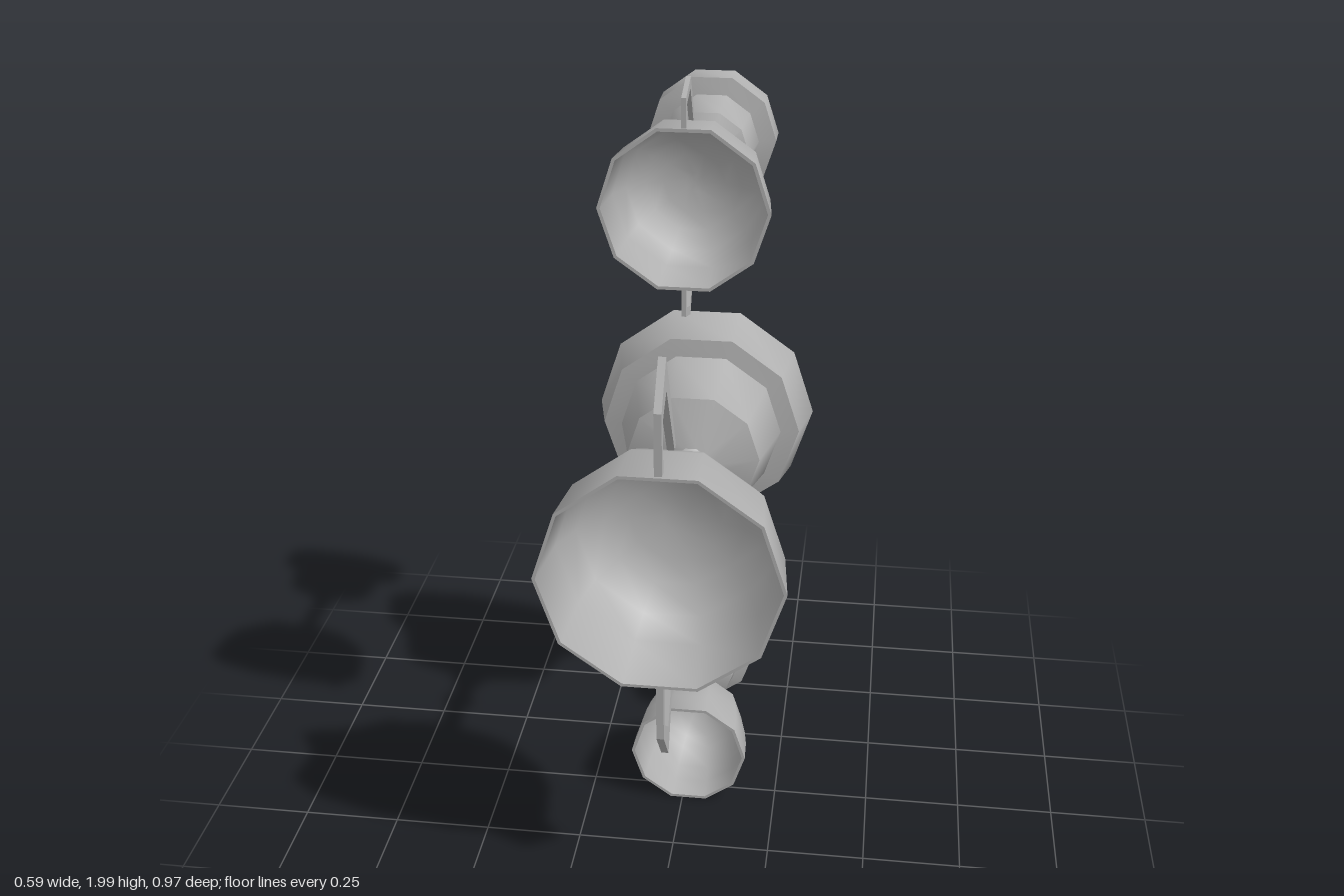
import * as THREE from 'three';
import { toCreasedNormals } from 'three/addons/utils/BufferGeometryUtils.js';

const SIDES = 10;
const WALL = 0.008;

const metal = new THREE.MeshStandardMaterial({ color: 0xb0b0b0, side: THREE.DoubleSide });
metal.name = 'grey metal';

// Ten-sided turned part along z; profile is [radius, z] from back to front
function turned(name, profile) {
  const points = profile.map(([r, z]) => new THREE.Vector2(r, z));
  const geometry = new THREE.LatheGeometry(points, SIDES, Math.PI / 2);
  geometry.rotateX(Math.PI / 2);
  const mesh = new THREE.Mesh(toCreasedNormals(geometry, 0.78), metal);
  mesh.name = name;
  return mesh;
}

// Bowl with a thin wall: outer profile forward to the rim, inner one back
function cup(profile) {
  const inner = profile.map(([r, z], i) =>
    [Math.max(r - WALL, 0), i === profile.length - 1 ? z : z + WALL * 0.7]).reverse();
  return turned('cup', [...profile, ...inner]);
}

// Flat bent strap, outline given as [z, y]
function handle(name, outline, thickness) {
  const shape = new THREE.Shape(outline.map(([z, y]) => new THREE.Vector2(z, y)));
  const geometry = new THREE.ExtrudeGeometry(shape, { depth: thickness, bevelEnabled: false });
  geometry.translate(0, 0, -thickness / 2);
  geometry.rotateY(-Math.PI / 2);
  const mesh = new THREE.Mesh(geometry, metal);
  mesh.name = name;
  return mesh;
}

function trophy({ name, x, y, base, stem, bowl, strap, thickness }) {
  const group = new THREE.Group();
  group.name = name;
  group.position.set(x, y, 0);
  group.add(turned('base', base), turned('stem', stem), cup(bowl));
  if (strap) {
    const lower = handle('lowerHandle', strap, thickness);
    lower.rotation.z = Math.PI;
    group.add(handle('upperHandle', strap, thickness), lower);
  }
  return group;
}

const largeBowl = [[0, 0.15], [0.045, 0.151], [0.12, 0.165], [0.18, 0.19],
  [0.24, 0.245], [0.276, 0.32], [0.293, 0.484]];

const trophies = [
  {
    name: 'largeTrophy', x: 0, y: 0.94, thickness: 0.018,
    base: [[0.295, -0.485], [0.265, -0.354], [0.216, -0.346], [0.174, -0.173], [0.048, -0.125]],
    stem: [[0.048, -0.125], [0.027, -0.075], [0.019, -0.022], [0.036, 0], [0.036, 0.02],
      [0.019, 0.042], [0.028, 0.155]],
    bowl: largeBowl,
    strap: [[0.475, 0.272], [0.475, 0.43], [0.395, 0.53], [0.24, 0.24], [0.262, 0.235],
      [0.395, 0.45], [0.453, 0.405], [0.453, 0.272]],
  },
  {
    name: 'mediumTrophy', x: 0.017, y: 1.72, thickness: 0.011,
    base: [[0.163, -0.485], [0.163, -0.41], [0.12, -0.4], [0.107, -0.28], [0.038, -0.247]],
    stem: [[0.038, -0.247], [0.022, -0.212], [0.014, -0.177], [0.023, -0.162],
      [0.023, -0.152], [0.014, -0.137], [0.02, -0.06]],
    // Same bowl as the large one at two-thirds size
    bowl: largeBowl.map(([r, z]) => [r * 0.67, 0.162 + (z - 0.484) * 0.67]),
    strap: [[0.156, 0.182], [0.156, 0.253], [0.073, 0.28], [-0.002, 0.16], [0.016, 0.155],
      [0.08, 0.256], [0.142, 0.235], [0.142, 0.182]],
  },
  {
    name: 'smallTrophy', x: 0.016, y: 0.153,
    base: [[0.138, -0.482], [0.126, -0.408], [0.094, -0.398], [0.08, -0.332], [0.022, -0.308]],
    stem: [[0.022, -0.308], [0.014, -0.28], [0.009, -0.254], [0.018, -0.243],
      [0.018, -0.234], [0.009, -0.223], [0.013, -0.205]],
    bowl: [[0, -0.214], [0.022, -0.212], [0.075, -0.184], [0.108, -0.157], [0.126, -0.13],
      [0.143, -0.06], [0.151, -0.01], [0.154, 0.058]],
  },
];

export function createModel() {
  const model = new THREE.Group();
  model.name = 'trophies';
  trophies.forEach((t) => model.add(trophy(t)));
  return model;
}
